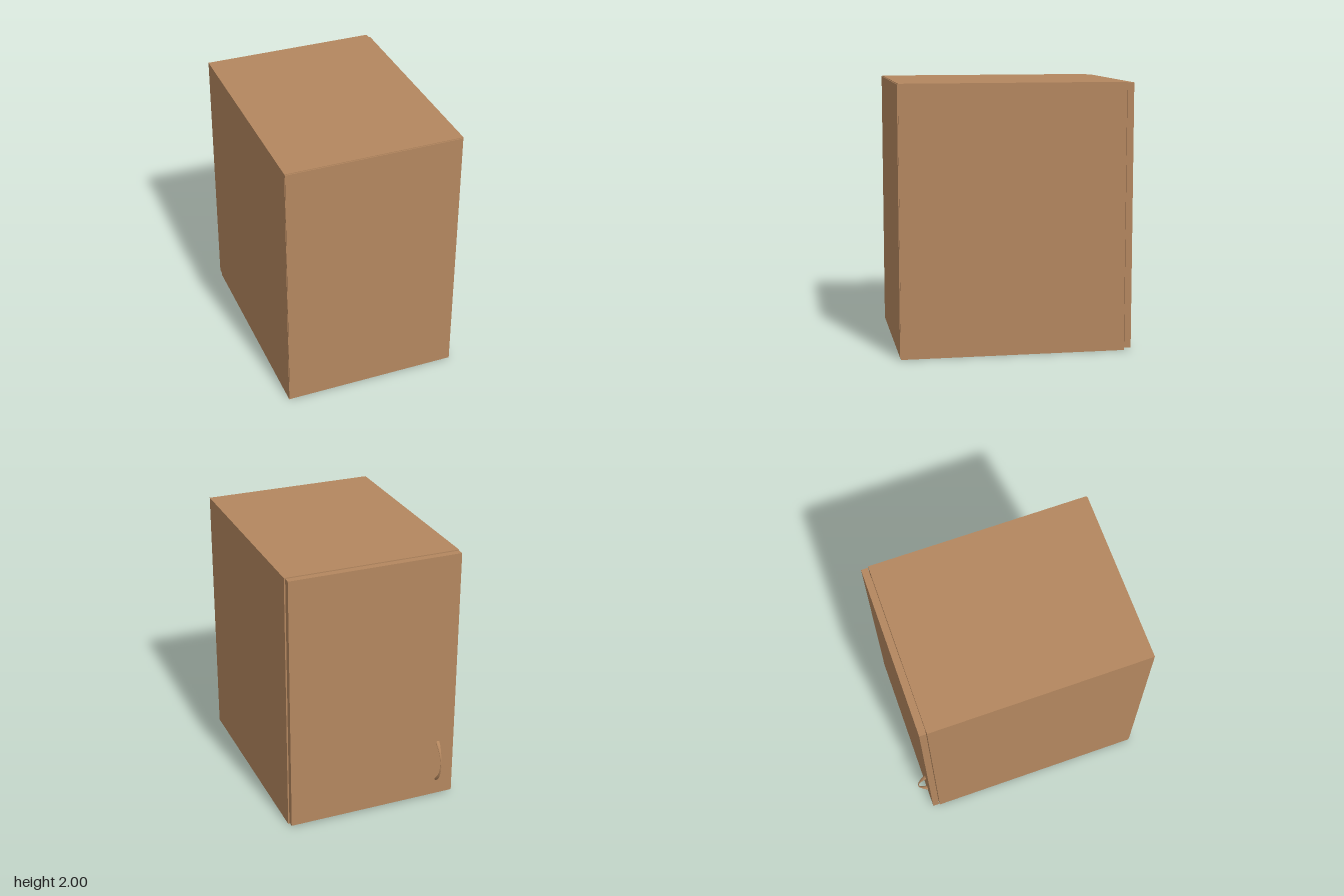
import * as THREE from 'three';
import { mergeVertices } from 'three/addons/utils/BufferGeometryUtils.js';

const wood = new THREE.MeshStandardMaterial({ color: 0xb4875f });
wood.name = 'wood';

// Box panel given by its minimum and maximum corners
function panel(name, [x0, y0, z0], [x1, y1, z1]) {
  const mesh = new THREE.Mesh(new THREE.BoxGeometry(x1 - x0, y1 - y0, z1 - z0), wood);
  mesh.position.set((x0 + x1) / 2, (y0 + y1) / 2, (z0 + z1) / 2);
  mesh.name = name;
  return mesh;
}

// Bow handle: a cylinder bent into an arc, slim in the middle and broad at the feet
function bowHandle() {
  const geo = new THREE.CylinderGeometry(1, 1, 2, 14, 28);
  const pos = geo.attributes.position;
  const radius = 0.254, reach = 0.8;
  for (let i = 0; i < pos.count; i++) {
    const x = pos.getX(i), s = pos.getY(i), z = pos.getZ(i);
    const width = 0.005 + 0.011 * Math.min(1, 1.5 * s * s);
    const thickness = 0.003 + 0.008 * s * s;
    const r = radius - thickness - z * thickness;
    const a = s * reach;
    pos.setXYZ(i, x * width, r * Math.sin(a), radius - r * Math.cos(a));
  }
  geo.deleteAttribute('uv');
  geo.deleteAttribute('normal');
  const smooth = mergeVertices(geo, 1e-5);
  smooth.computeVertexNormals();
  const mesh = new THREE.Mesh(smooth, wood);
  mesh.name = 'handle';
  mesh.position.set(-0.53, 0.305, -0.9);
  return mesh;
}

export function createModel() {
  const group = new THREE.Group();
  group.name = 'cabinet';
  const t = 0.05, X = 0.663, near = -0.775, far = 0.893;

  // Carcass: side walls with the top and bottom boards between them
  for (const [name, s] of [['leftSide', 1], ['rightSide', -1]]) {
    const a = s * X, b = s * (X - t);
    group.add(panel(name, [Math.min(a, b), 0, near], [Math.max(a, b), 2, far]));
  }
  group.add(panel('bottomBoard', [-X + t, 0, near], [X - t, t, far]));
  group.add(panel('topBoard', [-X + t, 2 - t, near], [X - t, 2, far]));

  // Thin rear panel, slightly smaller than the carcass
  group.add(panel('rearPanel', [-0.66, 0.015, far], [0.655, 1.995, 0.9]));

  // Door with a narrow gap to the carcass, and its handle
  group.add(panel('door', [-0.66, 0.015, -0.83], [0.655, 1.995, -0.78]));
  group.add(bowHandle());
  return group;
}
